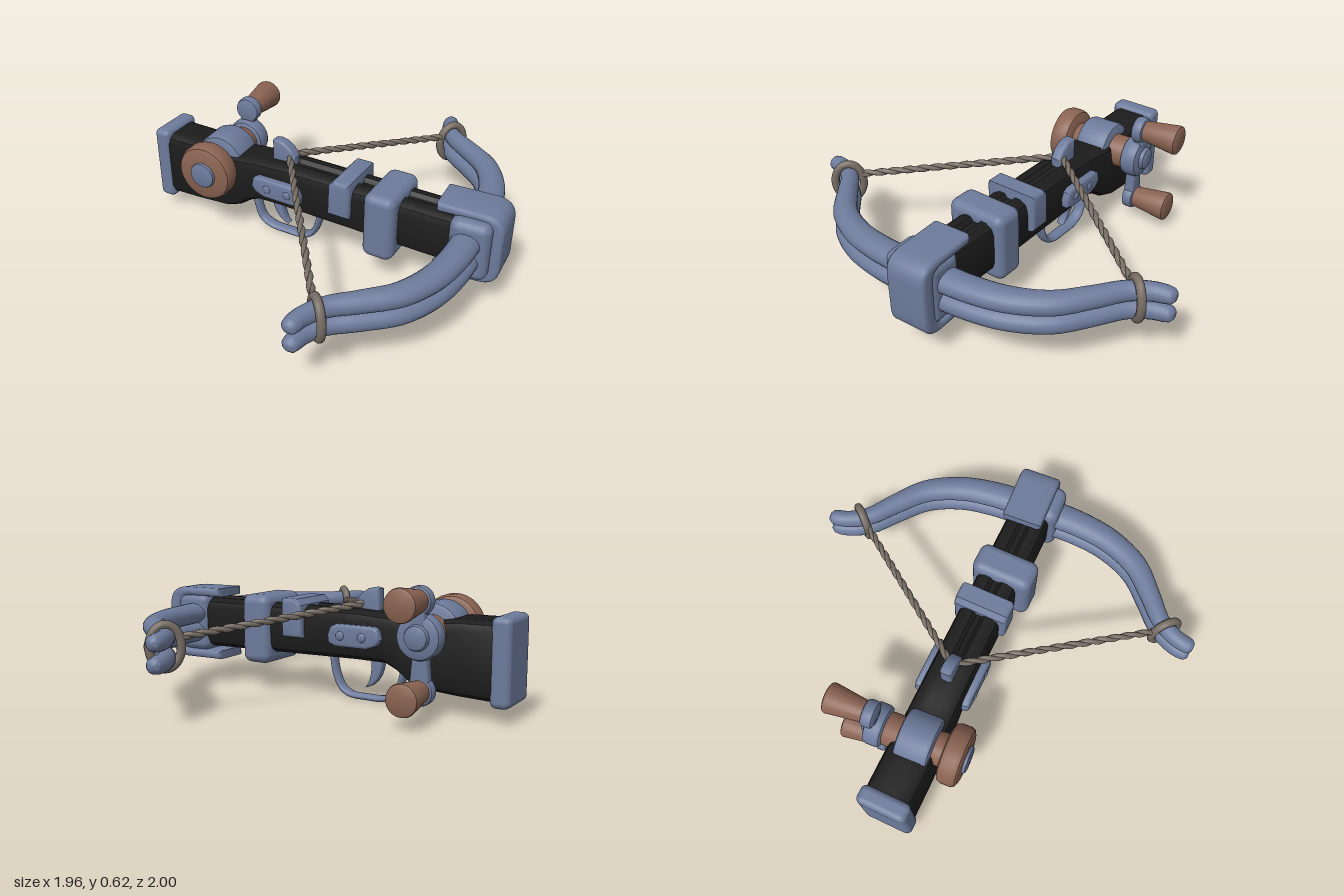
import * as THREE from 'three';
import { toCreasedNormals } from 'three/addons/utils/BufferGeometryUtils.js';
import { RoundedBoxGeometry } from 'three/addons/geometries/RoundedBoxGeometry.js';

const V = (x, y, z) => new THREE.Vector3(x, y, z);

function material(name, color) {
  const m = new THREE.MeshStandardMaterial({ color });
  m.name = name;
  return m;
}

function add(parent, name, geometry, mat, x = 0, y = 0, z = 0) {
  const mesh = new THREE.Mesh(geometry, mat);
  mesh.name = name;
  mesh.position.set(x, y, z);
  parent.add(mesh);
  return mesh;
}

// Skin a list of equal-length rings and close both ends
function loft(rings, crease) {
  const n = rings[0].length, points = rings.flat(), index = [];
  const centre = r => r.reduce((s, p) => s.add(p), V(0, 0, 0)).divideScalar(n);
  const last = (rings.length - 1) * n, c0 = points.length;
  points.push(centre(rings[0]), centre(rings[rings.length - 1]));
  for (let j = 0; j < n; j++) {
    const k = (j + 1) % n;
    for (let i = 0; i < last; i += n) {
      index.push(i + j, i + k, i + n + k, i + j, i + n + k, i + n + j);
    }
    index.push(c0, k, j, c0 + 1, last + j, last + k);
  }
  const g = new THREE.BufferGeometry().setFromPoints(points);
  g.setIndex(index);
  return toCreasedNormals(g, crease);
}

// Bevelled slab from an outline in x and y, centred on z
function slab(shape, depth, bevel) {
  const g = new THREE.ExtrudeGeometry(shape, {
    depth: depth - 2 * bevel, bevelEnabled: true, bevelSize: bevel, bevelThickness: bevel,
    bevelOffset: -bevel, bevelSegments: 3, curveSegments: 8,
  });
  g.translate(0, 0, -depth / 2 + bevel);
  return toCreasedNormals(g, 0.6);
}

const outline = pts => new THREE.Shape(pts.map(([x, y]) => new THREE.Vector2(x, y)));

// Turned part lying along z; profile is [radius, z] with z rising
function turned(profile) {
  const g = new THREE.LatheGeometry(profile.map(([r, z]) => new THREE.Vector2(r, z)), 32);
  g.rotateX(Math.PI / 2);
  return toCreasedNormals(g, 0.6);
}

// Disc along z with softened rims
function disc(r, z0, z1, b = 0.012) {
  return turned([[0, z0], [r - b, z0], [r - b * 0.3, z0 + b * 0.3], [r, z0 + b],
    [r, z1 - b], [r - b * 0.3, z1 - b * 0.3], [r - b, z1], [0, z1]]);
}

export function createModel() {
  const metal = material('blue steel', 0x6d7b9b);
  const black = material('black stock', 0x1c1c1c);
  const wood = material('brown wood', 0x8a6352);
  const rope = material('rope', 0x766d64);

  const model = new THREE.Group();
  model.name = 'crossbow';

  // Stock and its fittings are turned slightly from the x axis
  const body = new THREE.Group();
  body.name = 'body';
  body.position.z = -0.055;
  body.rotation.y = -0.055;
  model.add(body);

  // Stock: [x, bottom, top, half width, groove depth]
  const stations = [
    [-0.92, 0.09, 0.46, 0.118, 0], [-0.72, 0.098, 0.458, 0.118, 0], [-0.54, 0.11, 0.44, 0.116, 0],
    [-0.47, 0.135, 0.44, 0.115, 0], [-0.40, 0.185, 0.446, 0.114, 0], [-0.34, 0.212, 0.452, 0.112, 0],
    [-0.18, 0.214, 0.46, 0.11, 0], [-0.14, 0.213, 0.46, 0.11, 0.02], [0.9, 0.195, 0.46, 0.105, 0.02],
  ];
  add(body, 'stock', loft(stations.map(([x, b, t, w, g]) => {
    const half = [[0.014, t - g], [0.032, t], [w - 0.045, t], [w - 0.012, t - 0.02], [w, t - 0.055],
      [w, b + 0.055], [w - 0.012, b + 0.02], [w - 0.045, b]];
    const other = half.map(([z, y]) => [-z, y]).reverse();
    return [...half, ...other].map(([z, y]) => V(x, y, z));
  }), 0.65), black);

  add(body, 'buttPlate', new RoundedBoxGeometry(0.095, 0.41, 0.255, 4, 0.03), metal, -0.933, 0.277, 0);
  add(body, 'frontBand', new RoundedBoxGeometry(0.165, 0.355, 0.32, 4, 0.045), metal, 0.39, 0.323, 0.015);
  add(body, 'saddleBand', slab(outline([[0.1, 0.3], [0.22, 0.3], [0.222, 0.46], [0.218, 0.495],
    [0.13, 0.495], [0.105, 0.465]]), 0.285, 0.02), metal);

  // Side plates with two studs
  const plateShape = outline([[-0.345, 0.33], [-0.325, 0.3], [-0.27, 0.28], [-0.1, 0.28], [-0.06, 0.295],
    [-0.055, 0.335], [-0.07, 0.375], [-0.1, 0.39], [-0.31, 0.39], [-0.335, 0.375]]);
  for (const side of [-1, 1]) {
    add(body, 'sidePlate', slab(plateShape, 0.05, 0.015), metal, 0, 0, side * 0.122);
    for (const x of [-0.25, -0.13]) {
      const stud = add(body, 'plateStud', new THREE.SphereGeometry(0.024, 16, 10), metal, x, 0.335, side * 0.143);
      stud.scale.z = 0.5;
    }
  }

  // String latch on top of the stock
  add(body, 'latch', slab(outline([[-0.28, 0.43], [-0.15, 0.43], [-0.148, 0.49], [-0.175, 0.53],
    [-0.215, 0.558], [-0.25, 0.566], [-0.28, 0.56]]), 0.06, 0.012), metal);

  // Trigger guard: a flat strap following a bow
  const guardPath = new THREE.CatmullRomCurve3([[-0.42, 0.23], [-0.4, 0.14], [-0.37, 0.055], [-0.31, 0.02],
    [-0.2, 0.015], [-0.11, 0.02], [-0.06, 0.05], [-0.025, 0.12], [-0.005, 0.23]].map(([x, y]) => V(x, y, 0)));
  const guardRings = [];
  for (let i = 0; i <= 40; i++) {
    const p = guardPath.getPointAt(i / 40), t = guardPath.getTangentAt(i / 40);
    const out = V(-t.y, t.x, 0);
    guardRings.push(Array.from({ length: 16 }, (_, j) => {
      const a = j / 16 * Math.PI * 2;
      return p.clone().addScaledVector(out, 0.016 * Math.cos(a)).add(V(0, 0, 0.032 * Math.sin(a)));
    }));
  }
  add(body, 'triggerGuard', loft(guardRings, 1.2), metal);

  const trigger = new THREE.Shape();
  trigger.moveTo(-0.3, 0.23);
  trigger.quadraticCurveTo(-0.295, 0.09, -0.2, 0.065);
  trigger.quadraticCurveTo(-0.245, 0.12, -0.23, 0.23);
  add(body, 'trigger', slab(trigger, 0.045, 0.008), metal);

  // Bow: two stacked limbs of oval section, [x, z, half width, half height]
  const limb = [[0.365, 1, 0.022, 0.02], [0.366, 0.985, 0.037, 0.036], [0.37, 0.955, 0.042, 0.042],
    [0.385, 0.9, 0.042, 0.045], [0.44, 0.81, 0.045, 0.047], [0.56, 0.71, 0.052, 0.05],
    [0.69, 0.59, 0.06, 0.052], [0.775, 0.42, 0.066, 0.053], [0.808, 0.25, 0.07, 0.054],
    [0.815, 0.1, 0.073, 0.055]];
  const bowKeys = [...limb.map(([x, z, w, h]) => [x, -z, w, h]), ...limb.slice().reverse()];
  const bowPath = new THREE.CatmullRomCurve3(bowKeys.map(k => V(k[0], 0, k[1])));
  const bowRings = [];
  for (let i = 0; i <= 114; i++) {
    const u = i / 114, f = u * (bowKeys.length - 1), k = Math.min(Math.floor(f), bowKeys.length - 2);
    const size = m => THREE.MathUtils.lerp(bowKeys[k][m], bowKeys[k + 1][m], f - k);
    const p = bowPath.getPoint(u), t = bowPath.getTangent(u), out = V(t.z, 0, -t.x);
    bowRings.push(Array.from({ length: 20 }, (_, j) => {
      const a = j / 20 * Math.PI * 2;
      return p.clone().addScaledVector(out, size(2) * Math.cos(a)).add(V(0, size(3) * Math.sin(a), 0));
    }));
  }
  const limbGeometry = loft(bowRings, 1.2);
  add(model, 'upperBow', limbGeometry, metal, 0, 0.375, 0);
  add(model, 'lowerBow', limbGeometry, metal, 0, 0.277, 0);

  // Bow mount: inner collar and a strap wrapped round the front
  add(model, 'bowCollar', new RoundedBoxGeometry(0.2, 0.31, 0.27, 4, 0.045), metal, 0.825, 0.33, -0.005);
  const strap = new THREE.Shape();
  strap.moveTo(0.645, 0.515);
  strap.lineTo(0.87, 0.515);
  strap.quadraticCurveTo(0.975, 0.515, 0.975, 0.42);
  strap.lineTo(0.975, 0.235);
  strap.quadraticCurveTo(0.975, 0.135, 0.87, 0.135);
  strap.lineTo(0.645, 0.135);
  strap.lineTo(0.645, 0.18);
  strap.lineTo(0.84, 0.18);
  strap.quadraticCurveTo(0.9, 0.18, 0.9, 0.24);
  strap.lineTo(0.9, 0.41);
  strap.quadraticCurveTo(0.9, 0.47, 0.84, 0.47);
  strap.lineTo(0.645, 0.47);
  add(model, 'bowStrap', slab(strap, 0.21, 0.02), metal, 0, 0, -0.033);

  // Bowstring: two twisted strands each side and a loop round the limbs
  for (const side of [-1, 1]) {
    const start = V(-0.2, 0.485, -0.068), end = V(0.375, 0.375, side * 0.79);
    const along = end.clone().sub(start).normalize();
    const across = V(0, 1, 0).cross(along).normalize(), up = along.clone().cross(across);
    for (const phase of [0, Math.PI]) {
      const pts = Array.from({ length: 81 }, (_, i) => {
        const a = phase + i * 0.55;
        return start.clone().lerp(end, i / 80)
          .addScaledVector(across, 0.007 * Math.cos(a)).addScaledVector(up, 0.007 * Math.sin(a));
      });
      add(model, 'bowstring', new THREE.TubeGeometry(new THREE.CatmullRomCurve3(pts), 160, 0.0125, 8), rope);
    }
    const loop = Array.from({ length: 16 }, (_, i) => {
      const a = i / 16 * Math.PI * 2, d = 0.07 * Math.cos(a);
      return V(0.418 + d * 0.7, 0.335 + 0.1 * Math.sin(a), side * (0.84 + d * 0.74));
    });
    add(model, 'stringLoop', new THREE.TubeGeometry(new THREE.CatmullRomCurve3(loop, true), 48, 0.021, 10, true), rope);
  }

  // Winch: drum, wooden wheel and double crank on one axle
  const winch = new THREE.Group();
  winch.name = 'winch';
  winch.position.set(-0.582, 0.382, 0);
  model.add(winch);
  add(winch, 'winchDrum', disc(0.14, -0.17, 0.005, 0.02), metal);
  add(winch, 'axle', disc(0.085, -0.255, 0.07), wood);
  add(winch, 'wheel', disc(0.152, 0.055, 0.163, 0.03), wood);
  add(winch, 'wheelCap', disc(0.07, 0.15, 0.18), metal);
  add(winch, 'crankHub', disc(0.108, -0.345, -0.25, 0.025), metal);
  add(winch, 'crankBoss', disc(0.06, -0.37, -0.3, 0.02), metal);

  for (const [dir, y, z] of [[1, 0.163, -0.318], [-1, -0.25, -0.29]]) {
    const arm = slab(outline([[-0.05, 0], [0.05, 0], [0.038, dir * 0.1], [0.05, y], [-0.05, y],
      [-0.038, dir * 0.1]]), 0.055, 0.012);
    add(winch, 'crankArm', arm, metal, 0, 0, z);
    add(winch, 'crankEnd', disc(0.068, -0.03, 0.03, 0.015), metal, 0, y, z);
    add(winch, 'crankHandle', turned([[0, -0.222], [0.062, -0.222], [0.074, -0.216], [0.077, -0.205],
      [0.053, -0.02], [0, -0.02]]), wood, 0, y, z);
  }

  return model;
}
